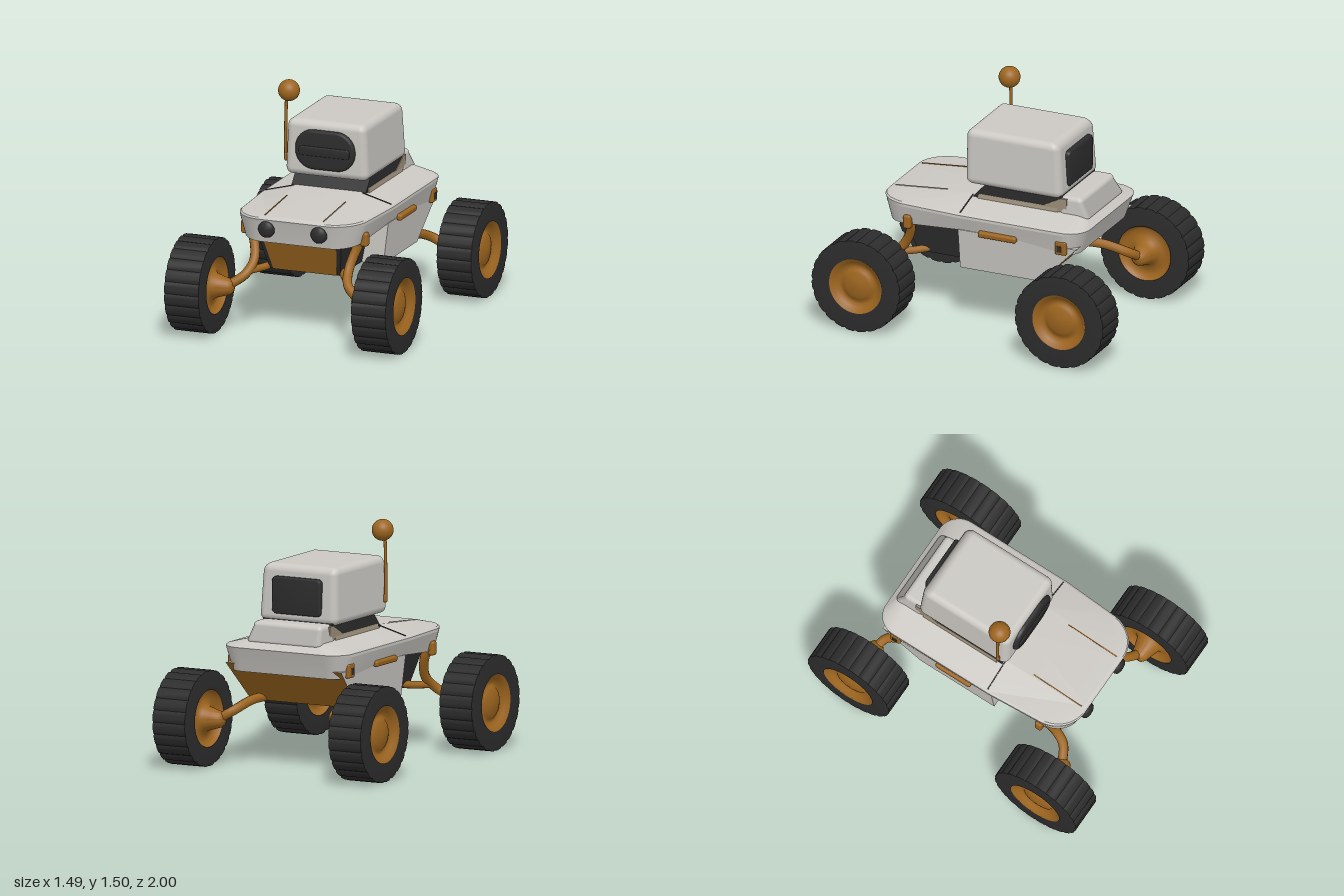
import * as THREE from 'three';
import { toCreasedNormals } from 'three/addons/utils/BufferGeometryUtils.js';
import { RoundedBoxGeometry } from 'three/addons/geometries/RoundedBoxGeometry.js';

const mat = (name, color) => {
  const m = new THREE.MeshStandardMaterial({ color });
  m.name = name;
  return m;
};

export function createModel() {
  const root = new THREE.Group();
  root.name = 'rover';
  const shell = mat('pale grey shell', 0xcbc8c3);
  const dark = mat('charcoal', 0x2c2c2d);
  const orange = mat('burnt orange', 0x9d651f);
  const taupe = mat('taupe collar', 0x9a8c78);

  const add = (name, geo, material, x = 0, y = 0, z = 0, parent = root) => {
    const m = new THREE.Mesh(geo, material);
    m.name = name;
    m.position.set(x, y, z);
    parent.add(m);
    return m;
  };
  // move every vertex of a geometry by a rule
  const warp = (geo, rule) => {
    const p = geo.attributes.position, v = new THREE.Vector3();
    for (let i = 0; i < p.count; i++) {
      rule(v.fromBufferAttribute(p, i));
      p.setXYZ(i, v.x, v.y, v.z);
    }
    return geo;
  };
  // box whose top and bottom rectangles differ: [halfWidth, back, front]
  const frustum = (y0, y1, bottom, top) => {
    const g = warp(new THREE.BoxGeometry(2, 2, 2), v => {
      const [w, b, f] = v.y > 0 ? top : bottom;
      v.set(v.x * w, v.y > 0 ? y1 : y0, v.z > 0 ? f : b);
    });
    g.computeVertexNormals();
    return g;
  };
  const tube = (pts, r) => new THREE.TubeGeometry(
    new THREE.CatmullRomCurve3(pts.map(p => new THREE.Vector3(...p))), 28, r, 10);

  // rounded plan outline, with one extra point on each side at the hood crease
  const CREASE = 0.15, N = 10;
  const ring = ({ w, f, b, rf, rb, y }) => {
    const out = [];
    const put = (x, z) => {
      const taper = 1 - 0.14 * Math.max(0, z - CREASE);
      out.push(new THREE.Vector3(x * taper, y(z), z));
    };
    [[1, -1], [-1, -1], [-1, 1], [1, 1]].forEach(([sx, sz], k) => {
      const r = sz > 0 ? rf : rb, cx = sx * (w - r), cz = sz > 0 ? f - r : b + r;
      for (let i = 0; i <= N; i++) {
        const a = (k + i / N) * Math.PI / 2;
        put(cx + r * Math.cos(a), cz - r * Math.sin(a));
      }
      if (k === 1) put(-w, CREASE);
      if (k === 3) put(w, CREASE);
    });
    return out;
  };
  const loft = specs => {
    const rings = specs.map(ring), n = rings[0].length, pos = [];
    const tri = (...vs) => vs.forEach(v => pos.push(v.x, v.y, v.z));
    const last = rings.length - 1;
    const lo = new THREE.Vector3(0, specs[0].y(CREASE), CREASE);
    const hi = new THREE.Vector3(0, specs[last].y(CREASE), CREASE);
    for (let i = 0; i < n; i++) {
      const j = (i + 1) % n;
      for (let k = 0; k < last; k++) {
        const a = rings[k], b = rings[k + 1];
        tri(a[i], a[j], b[j]);
        tri(a[i], b[j], b[i]);
      }
      tri(lo, rings[0][j], rings[0][i]);
      tri(hi, rings[last][i], rings[last][j]);
    }
    const g = new THREE.BufferGeometry();
    g.setAttribute('position', new THREE.Float32BufferAttribute(pos, 3));
    return toCreasedNormals(g, 0.18);
  };

  // upper deck and hood
  const ahead = z => Math.max(0, z - CREASE);
  add('deck', loft([
    { w: 0.405, f: 0.675, b: -0.65, rf: 0.16, rb: 0.1, y: z => z > 0 ? 0.655 - 0.08 * ahead(z) : 0.61 },
    { w: 0.443, f: 0.71, b: -0.70, rf: 0.2, rb: 0.14, y: () => 0.75 },
    { w: 0.443, f: 0.717, b: -0.708, rf: 0.2, rb: 0.14, y: () => 0.768 },
    { w: 0.43, f: 0.71, b: -0.695, rf: 0.19, rb: 0.13, y: () => 0.778 },
    { w: 0.22, f: 0.69, b: -0.64, rf: 0.04, rb: 0.05, y: z => 0.835 - 0.09 * ahead(z) },
  ]), shell);

  // lower hull: wide rear block and narrow front block with an orange nose plate
  add('rearHull', frustum(0.395, 0.66, [0.38, -0.4, 0.15], [0.413, -0.66, 0.15]),
    [shell, shell, shell, orange, shell, orange]);
  add('frontHull', frustum(0.395, 0.64, [0.235, 0.14, 0.5], [0.285, 0.14, 0.6]),
    [dark, dark, dark, orange, dark, dark]);
  add('nosePlate', frustum(0.395, 0.63, [0.212, 0.49, 0.506], [0.25, 0.586, 0.602]), orange);

  // raised rear hump, with a wedge running forward under the head
  add('rearHump', warp(new RoundedBoxGeometry(0.52, 0.14, 0.2, 4, 0.03), v => {
    if (v.y > 0) { v.x *= 0.94; if (v.z < 0) v.z += 0.05; }
  }), shell, 0, 0.86, -0.57);
  add('humpWedge', frustum(0.82, 0.915, [0.254, -0.52, -0.3], [0.254, -0.52, -0.48]), taupe);

  // neck, its collar and the head
  add('neck', frustum(0.82, 0.93, [0.25, -0.48, 0.13], [0.25, -0.48, 0.03]), dark);
  add('neckCollar', frustum(0.82, 0.852, [0.262, -0.46, 0.09], [0.252, -0.46, 0.08]), taupe);
  add('head', warp(new RoundedBoxGeometry(0.56, 0.36, 0.66, 5, 0.046), v => {
    v.x *= 0.965 - v.y * 0.16;
    if (v.y > 0.1 && v.z < -0.2) v.z += (v.y - 0.1) * 0.5;
  }), shell, 0, 1.092, -0.16);

  const plate = (w, h, r, depth, bevel) => {
    const s = new THREE.Shape(), x = w / 2, y = h / 2, q = Math.PI / 2;
    s.absarc(x - r, y - r, r, 0, q);
    s.absarc(r - x, y - r, r, q, 2 * q);
    s.absarc(r - x, r - y, r, 2 * q, 3 * q);
    s.absarc(x - r, r - y, r, 3 * q, 4 * q);
    s.closePath();
    return toCreasedNormals(new THREE.ExtrudeGeometry(s, {
      depth, curveSegments: 10, bevelSegments: 3,
      bevelSize: bevel, bevelThickness: bevel, bevelOffset: -bevel,
    }), 0.6);
  };
  add('visor', plate(0.4, 0.255, 0.122, 0.05, 0.018), dark, 0, 1.092, 0.125);
  add('visorBar', plate(0.34, 0.06, 0.02, 0.01, 0.006), dark, 0, 1.085, 0.185);
  add('rearScreen', plate(0.35, 0.235, 0.03, 0.05, 0.012), dark, 0, 1.083, -0.492);

  // antenna
  add('antennaRod', tube([[-0.29, 0.99, 0.115], [-0.29, 1.2, 0.115], [-0.285, 1.4, 0.115]], 0.01), orange);
  add('antennaFoot', new THREE.CapsuleGeometry(0.013, 0.03, 4, 10), orange, -0.287, 1.01, 0.115);
  add('antennaBall', new THREE.SphereGeometry(0.068, 28, 20), orange, -0.268, 1.438, 0.115);

  // wheel geometry: every fifth slice of the tyre is a shallow groove between treads
  const lathe = (pts, n) => new THREE.LatheGeometry(pts.map(p => new THREE.Vector2(...p)), n);
  const SLICES = 120;
  const tyreGeo = toCreasedNormals(warp(lathe([[0.18, -0.119], [0.275, -0.119], [0.294, -0.115],
    [0.294, 0.115], [0.275, 0.119], [0.18, 0.119]], SLICES), v => {
    const r = Math.hypot(v.x, v.z);
    const slice = Math.round(Math.atan2(v.x, v.z) / (2 * Math.PI) * SLICES + SLICES) % 5;
    if (r > 0.28 && slice !== 0) { v.x *= 1.027; v.z *= 1.027; }
  }), 0.7);
  const hubGeo = toCreasedNormals(lathe([[0, -0.23], [0.035, -0.224], [0.05, -0.205], [0.066, -0.15],
    [0.08, -0.105], [0.105, -0.085], [0.15, -0.08], [0.172, -0.1], [0.186, -0.117], [0.186, 0.117],
    [0.175, 0.112], [0.15, 0.092], [0.13, 0.076], [0.11, 0.076], [0.098, 0.088], [0.08, 0.094],
    [0.06, 0.1], [0.03, 0.106], [0, 0.108]], 48), 0.9);

  for (const s of [1, -1]) {
    const side = s > 0 ? 'left' : 'right';
    const mir = pts => pts.map(([x, y, z]) => [x * s, y, z]);

    for (const e of [1, -1]) {
      const wheel = new THREE.Group();
      wheel.name = side + (e > 0 ? 'FrontWheel' : 'RearWheel');
      wheel.position.set(0.628 * s, 0.304, 0.697 * e);
      wheel.rotation.z = -s * Math.PI / 2;
      root.add(wheel);
      add('tyre', tyreGeo, dark, 0, 0, 0, wheel);
      add('hub', hubGeo, orange, 0, 0, 0, wheel);
    }

    // suspension arms
    add(side + 'FrontArm', tube(mir([[0.4, 0.68, 0.5], [0.35, 0.59, 0.5], [0.318, 0.46, 0.56],
      [0.345, 0.38, 0.64], [0.44, 0.31, 0.695]]), 0.03), orange);
    add(side + 'FrontLink', tube(mir([[0.21, 0.42, 0.42], [0.27, 0.405, 0.52], [0.33, 0.4, 0.62]]), 0.024), orange);
    add(side + 'RearArm', tube(mir([[0.28, 0.42, -0.38], [0.31, 0.41, -0.52], [0.36, 0.36, -0.66],
      [0.44, 0.31, -0.697]]), 0.03), orange);

    // side fittings
    add(side + 'FrontMount', new RoundedBoxGeometry(0.05, 0.09, 0.05, 3, 0.015), orange, 0.4 * s, 0.65, 0.5);
    const handle = add(side + 'Handle', new RoundedBoxGeometry(0.04, 0.04, 0.26, 3, 0.014), orange, 0.422 * s, 0.66, -0.125);
    handle.rotation.z = -0.12 * s;
    add(side + 'RearBracket', new RoundedBoxGeometry(0.05, 0.09, 0.075, 3, 0.012), orange, 0.41 * s, 0.66, -0.56);
    add(side + 'BracketSocket', new THREE.BoxGeometry(0.006, 0.04, 0.035), dark, 0.435 * s, 0.655, -0.555);

    // headlights
    const lamp = add(side + 'Headlight', toCreasedNormals(lathe(
      [[0.053, -0.06], [0.053, 0.015], [0.047, 0.028], [0.03, 0.037], [0, 0.041]], 28), 0.9), dark, 0.176 * s, 0.705, 0.697);
    lamp.rotation.x = Math.PI / 2;

    // hood trim line, orange on top and on its inner edge, and the panel gap
    const trim = add(side + 'HoodTrim', new THREE.BoxGeometry(0.006, 0.008, 0.36), [
      s > 0 ? shell : orange, s > 0 ? orange : shell, orange, orange, orange, orange,
    ].map((m, i) => (i === 0 && s < 0) || (i === 1 && s > 0) ? orange : m),
      0.197 * s, 0.835 - 0.09 * 0.35, 0.5);
    trim.rotation.x = 0.09;
    const gap = add(side + 'PanelGap', new THREE.BoxGeometry(0.2, 0.008, 0.007), dark, 0.328 * s, 0.806, 0.13);
    gap.rotation.z = -0.265 * s;
  }
  return root;
}
